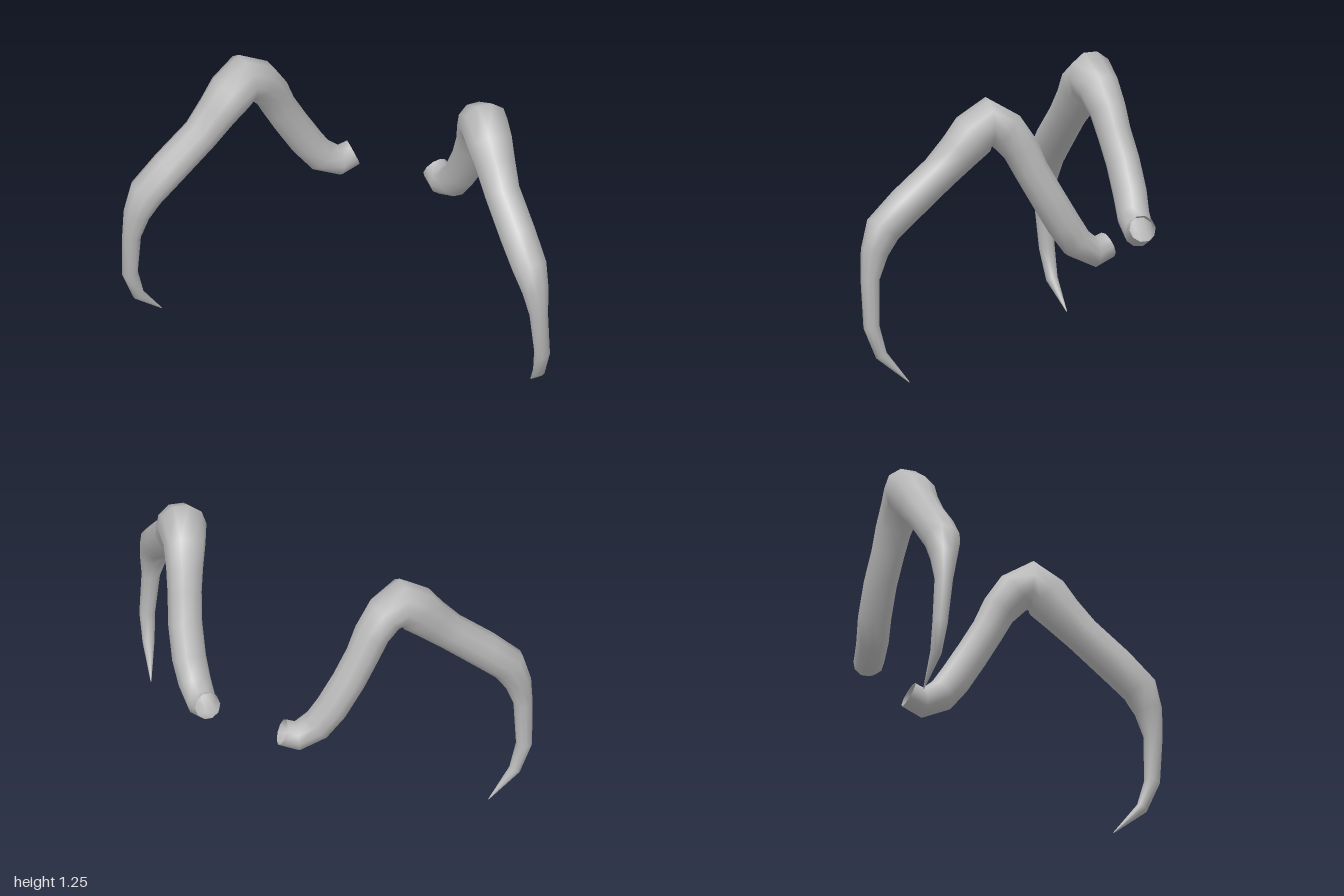
import * as THREE from 'three';

const SIDES = 10;

// Centre line of one leg from open root to claw tip: x, y, z, radius
const RINGS = [
  [0.19, 0.555, -0.403, 0.06],
  [0.243, 0.528, -0.362, 0.068],
  [0.313, 0.58, -0.305, 0.074],
  [0.365, 0.67, -0.265, 0.077],
  [0.418, 0.8, -0.207, 0.077],
  [0.455, 0.92, -0.148, 0.077],
  [0.478, 1.015, -0.108, 0.083],
  [0.512, 1.1, -0.05, 0.094],
  [0.56, 1.145, 0.01, 0.11],
  [0.605, 1.09, 0.065, 0.106],
  [0.65, 1.015, 0.118, 0.093],
  [0.705, 0.925, 0.188, 0.083],
  [0.815, 0.793, 0.298, 0.084],
  [0.895, 0.69, 0.375, 0.081],
  [0.93, 0.59, 0.4, 0.062],
  [0.95, 0.475, 0.412, 0.043],
  [0.962, 0.26, 0.4, 0.036],
  [0.935, 0.13, 0.364, 0.027],
  [0.862, 0.003, 0.26, 0.002],
];

// Loft of round cross-sections; side = 1 for left, -1 for the mirrored right
function legGeometry(side) {
  const centres = RINGS.map(([x, y, z]) => new THREE.Vector3(x, y, z));
  const across = new THREE.Vector3(0.74, 0, -0.67).normalize();
  const positions = [], indices = [];
  const last = RINGS.length - 1;
  centres.forEach((c, i) => {
    const before = centres[Math.max(i - 1, 0)], after = centres[Math.min(i + 1, last)];
    const a = c.clone().sub(before).normalize(), b = after.clone().sub(c).normalize();
    const tangent = a.add(b).normalize();
    const u = across.clone().addScaledVector(tangent, -across.dot(tangent)).normalize();
    const v = tangent.clone().cross(u);
    for (let j = 0; j < SIDES; j++) {
      const t = (j / SIDES) * Math.PI * 2;
      const p = c.clone().addScaledVector(u, Math.cos(t) * RINGS[i][3])
        .addScaledVector(v, Math.sin(t) * RINGS[i][3]);
      positions.push(p.x * side, p.y, p.z);
    }
  });
  const tri = (a, b, c) => indices.push(...(side > 0 ? [a, b, c] : [a, c, b]));
  for (let i = 0; i < last; i++) {
    for (let j = 0; j < SIDES; j++) {
      const k = (j + 1) % SIDES;
      const a = i * SIDES + j, b = i * SIDES + k;
      tri(a, b, b + SIDES);
      tri(a, b + SIDES, a + SIDES);
    }
  }
  const geometry = new THREE.BufferGeometry();
  geometry.setAttribute('position', new THREE.Float32BufferAttribute(positions, 3));
  geometry.setIndex(indices);
  geometry.computeVertexNormals();
  return geometry;
}

export function createModel() {
  const model = new THREE.Group();
  model.name = 'clawedLegs';
  const material = new THREE.MeshStandardMaterial({ color: 0xb8b8b8, side: THREE.DoubleSide });
  material.name = 'plain grey';
  for (const [name, side] of [['leftLeg', 1], ['rightLeg', -1]]) {
    const leg = new THREE.Mesh(legGeometry(side), material);
    leg.name = name;
    model.add(leg);
  }
  return model;
}
